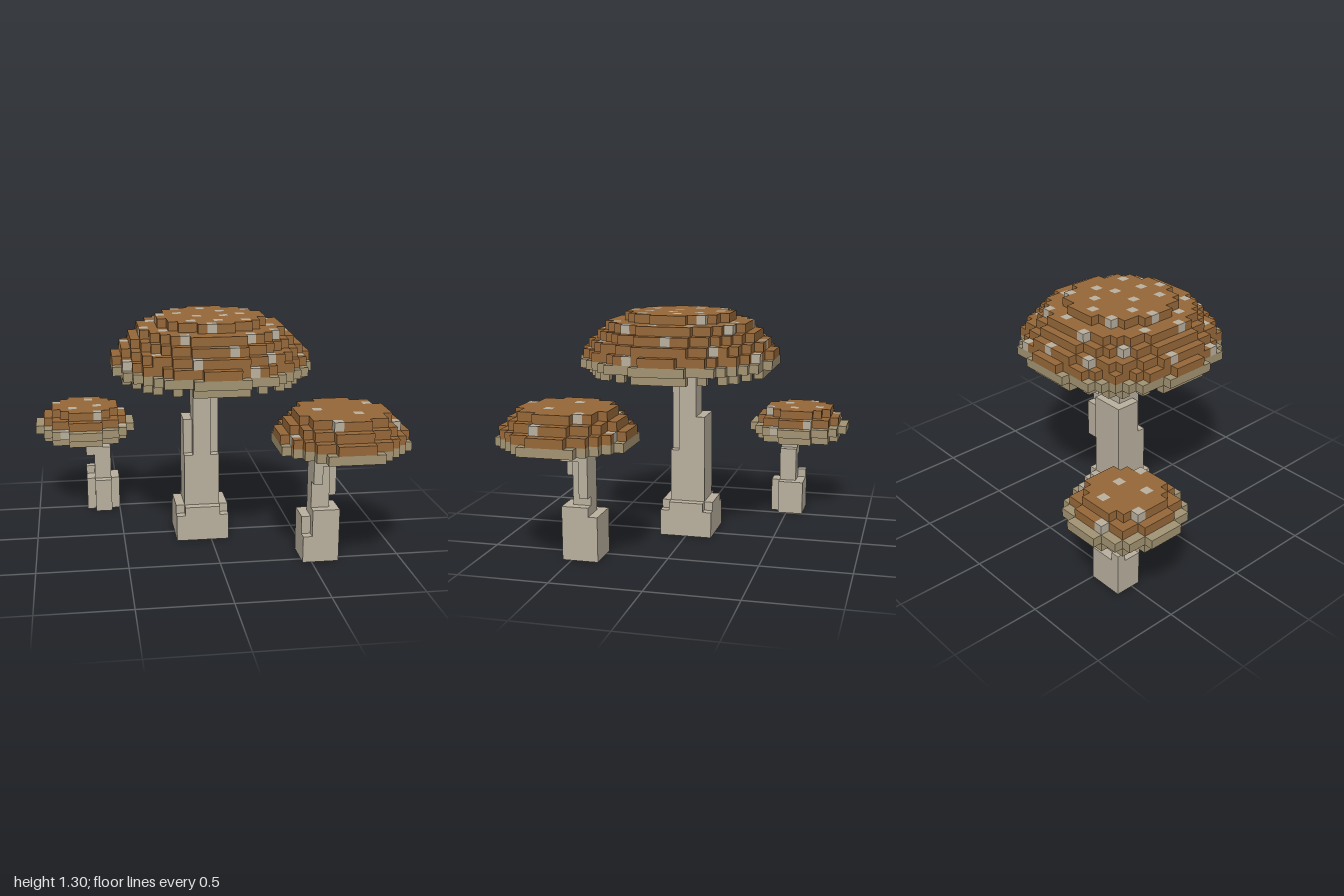
import * as THREE from 'three';
import { mergeGeometries } from 'three/addons/utils/BufferGeometryUtils.js';

const U = 0.05; // cube size
const toCell = (v) => Math.round(v / U);

function flat(name, color) {
  const material = new THREE.MeshStandardMaterial({ color });
  material.name = name;
  return material;
}

// One square cube face, turned to look along a direction
function cubeFace(x, y, z) {
  const geometry = new THREE.PlaneGeometry(U, U).translate(0, 0, U / 2);
  if (y) geometry.rotateX(-y * Math.PI / 2);
  else geometry.rotateY(Math.atan2(x, z));
  return { x, y, z, geometry };
}
const cubeFaces = [-1, 1].flatMap((s) => [cubeFace(s, 0, 0), cubeFace(0, s, 0), cubeFace(0, 0, s)]);

// A set of cubes, each belonging to a named part
class Voxels {
  cubes = new Map();

  set(x, y, z, part) { this.cubes.set(`${x},${y},${z}`, { x, y, z, part }); }

  box(x0, x1, y0, y1, z0, z1, part) {
    for (let x = toCell(x0); x < toCell(x1); x++)
      for (let y = toCell(y0); y < toCell(y1); y++)
        for (let z = toCell(z0); z < toCell(z1); z++) this.set(x, y, z, part);
  }

  // Round layer one cube high, radii in cubes
  ring(cx, y, cz, inner, outer, part) {
    for (let i = -12; i < 12; i++)
      for (let j = -12; j < 12; j++) {
        const d = Math.hypot(i + 0.5, j + 0.5);
        if (d >= inner && d <= outer) this.set(toCell(cx) + i, toCell(y), toCell(cz) + j, part);
      }
  }

  // Sunflower pattern of spots dropped on the cap from above
  spots(cx, cz, radius, count, turn) {
    for (let k = 0; k < count; k++) {
      const a = turn + k * 2.4, r = radius * Math.sqrt((k + 0.5) / count);
      const x = toCell(cx) + Math.floor(r * Math.cos(a)), z = toCell(cz) + Math.floor(r * Math.sin(a));
      const column = [...this.cubes.values()].filter((c) => c.x === x && c.z === z);
      if (column.length) column.reduce((p, c) => (c.y > p.y ? c : p)).part = 'spots';
    }
  }

  // The exposed faces of one part
  geometry(part) {
    const list = [];
    for (const c of this.cubes.values()) {
      if (c.part !== part) continue;
      for (const f of cubeFaces)
        if (!this.cubes.has(`${c.x + f.x},${c.y + f.y},${c.z + f.z}`))
          list.push(f.geometry.clone().translate((c.x + 0.5) * U, (c.y + 0.5) * U, (c.z + 0.5) * U));
    }
    return mergeGeometries(list);
  }
}

function tallMushroom() {
  const v = new Voxels(), x = 0, z = 0.05;
  // Broken fringe, hollowed rim, then stepped dome
  v.ring(x, 0.95, z, 9.5, 10, 'capRim');
  v.ring(x, 1, z, 6.6, 11, 'capRim');
  v.ring(x, 1.05, z, 0, 8, 'capRim');
  v.ring(x, 1.05, z, 8, 10.67, 'capTop');
  [10, 9, 8, 6].forEach((r, i) => v.ring(x, 1.1 + i * U, z, 0, r, 'capTop'));
  v.spots(x, z, 10.5, 38, 0.4);
  // Wide foot
  v.box(-0.2, 0.1, 0, 0.15, -0.15, 0.15, 'stem');
  v.box(-0.2, 0.1, 0.15, 0.2, -0.1, 0.1, 'stem');
  v.box(-0.15, 0.05, 0.15, 0.2, -0.15, 0.15, 'stem');
  // Shaft narrowing upwards
  v.box(-0.15, 0.05, 0.2, 0.5, -0.1, 0.1, 'stem');
  v.box(-0.15, 0.05, 0.5, 0.7, -0.1, 0.05, 'stem');
  v.box(-0.1, 0.05, 0.5, 1.05, -0.05, 0.05, 'stem');
  v.box(-0.1, 0, 0.5, 1.05, 0.05, 0.1, 'stem');
  return v;
}

function frontMushroom() {
  const v = new Voxels(), x = 0.65, z = 0.5;
  v.ring(x, 0.65, z, 2.2, 7, 'capRim');
  v.ring(x, 0.7, z, 3, 6.85, 'capTop');
  [6, 5].forEach((r, i) => v.ring(x, 0.75 + i * U, z, 0, r, 'capTop'));
  v.spots(x, z, 6.5, 8, 0.9);
  v.ring(x, 0.7, z, 0, 3, 'stem');
  // Square foot
  v.box(0.45, 0.65, 0, 0.15, 0.35, 0.55, 'stem');
  v.box(0.45, 0.65, 0.15, 0.25, 0.35, 0.5, 'stem');
  v.box(0.5, 0.65, 0.15, 0.3, 0.4, 0.55, 'stem');
  // Thin neck with thicker top
  v.box(0.5, 0.6, 0.25, 0.7, 0.4, 0.5, 'stem');
  v.box(0.6, 0.65, 0.35, 0.7, 0.4, 0.45, 'stem');
  v.box(0.5, 0.55, 0.45, 0.7, 0.5, 0.55, 'stem');
  v.box(0.55, 0.65, 0.55, 0.7, 0.45, 0.55, 'stem');
  return v;
}

function backMushroom() {
  const v = new Voxels(), x = -0.7, z = -0.55;
  v.ring(x, 0.45, z, 4.2, 5, 'capRim');
  v.ring(x, 0.5, z, 2.2, 6, 'capRim');
  v.ring(x, 0.55, z, 3, 5, 'capTop');
  v.ring(x, 0.6, z, 0, 4, 'capTop');
  v.spots(x, z, 5.6, 9, 0.2);
  v.ring(x, 0.55, z, 0, 3, 'stem');
  // Notched foot
  v.box(-0.7, -0.5, 0, 0.2, -0.6, -0.45, 'stem');
  v.box(-0.65, -0.55, 0, 0.2, -0.45, -0.4, 'stem');
  v.box(-0.7, -0.65, 0.2, 0.25, -0.6, -0.55, 'stem');
  // Crooked neck
  v.box(-0.65, -0.55, 0.2, 0.4, -0.55, -0.45, 'stem');
  v.box(-0.7, -0.6, 0.35, 0.55, -0.55, -0.45, 'stem');
  return v;
}

export function createModel() {
  const pale = flat('pale stem', 0xb9b09e);
  const materials = {
    capTop: flat('brown cap', 0x956738),
    capRim: flat('tan rim', 0xa29372),
    stem: pale,
    spots: pale,
  };
  const model = new THREE.Group();
  model.name = 'mushroomCluster';
  for (const build of [tallMushroom, frontMushroom, backMushroom]) {
    const voxels = build();
    const group = new THREE.Group();
    group.name = build.name;
    for (const part in materials) {
      const mesh = new THREE.Mesh(voxels.geometry(part), materials[part]);
      mesh.name = part;
      group.add(mesh);
    }
    model.add(group);
  }
  return model;
}
